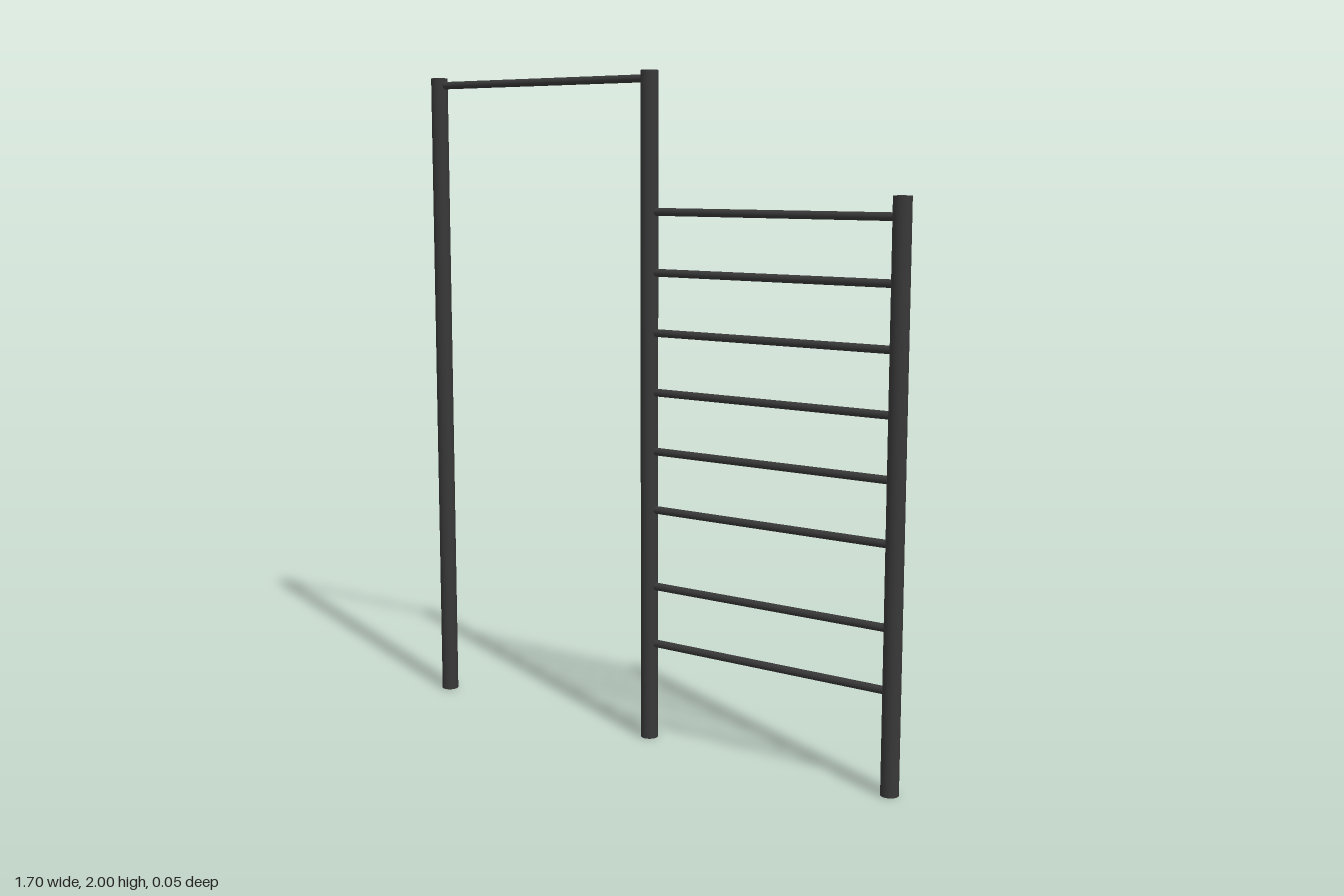
import * as THREE from 'three';

export function createModel() {
  const group = new THREE.Group();
  const darkSteel = new THREE.MeshStandardMaterial({ color: 0x383838 });
  darkSteel.name = 'darkSteel';

  const POST_R = 0.026, BAR_R = 0.0115, SPACING = 0.822;

  function addPost(name, x, height) {
    const post = new THREE.Mesh(new THREE.CylinderGeometry(POST_R, POST_R, height, 32), darkSteel);
    post.name = name;
    post.position.set(x, height / 2, 0);
    group.add(post);
  }

  // Horizontal bar running between the centres of two neighbouring posts
  function addBar(name, x, y) {
    const bar = new THREE.Mesh(new THREE.CylinderGeometry(BAR_R, BAR_R, SPACING, 24), darkSteel);
    bar.name = name;
    bar.rotation.z = Math.PI / 2;
    bar.position.set(x, y, 0);
    group.add(bar);
  }

  // Upright posts
  addPost('rightPost', -SPACING, 2);
  addPost('middlePost', 0, 2);
  addPost('leftPost', SPACING, 1.65);

  // High pull-up bar
  addBar('pullUpBar', -SPACING / 2, 1.977);

  // Ladder rungs: two low ones, a wider gap, then six evenly spaced
  const rungs = [0.297, 0.474];
  for (let i = 0; i < 6; i++) rungs.push(0.709 + i * 0.177);
  rungs.forEach((y, i) => addBar(`rung${i + 1}`, SPACING / 2, y));

  return group;
}
